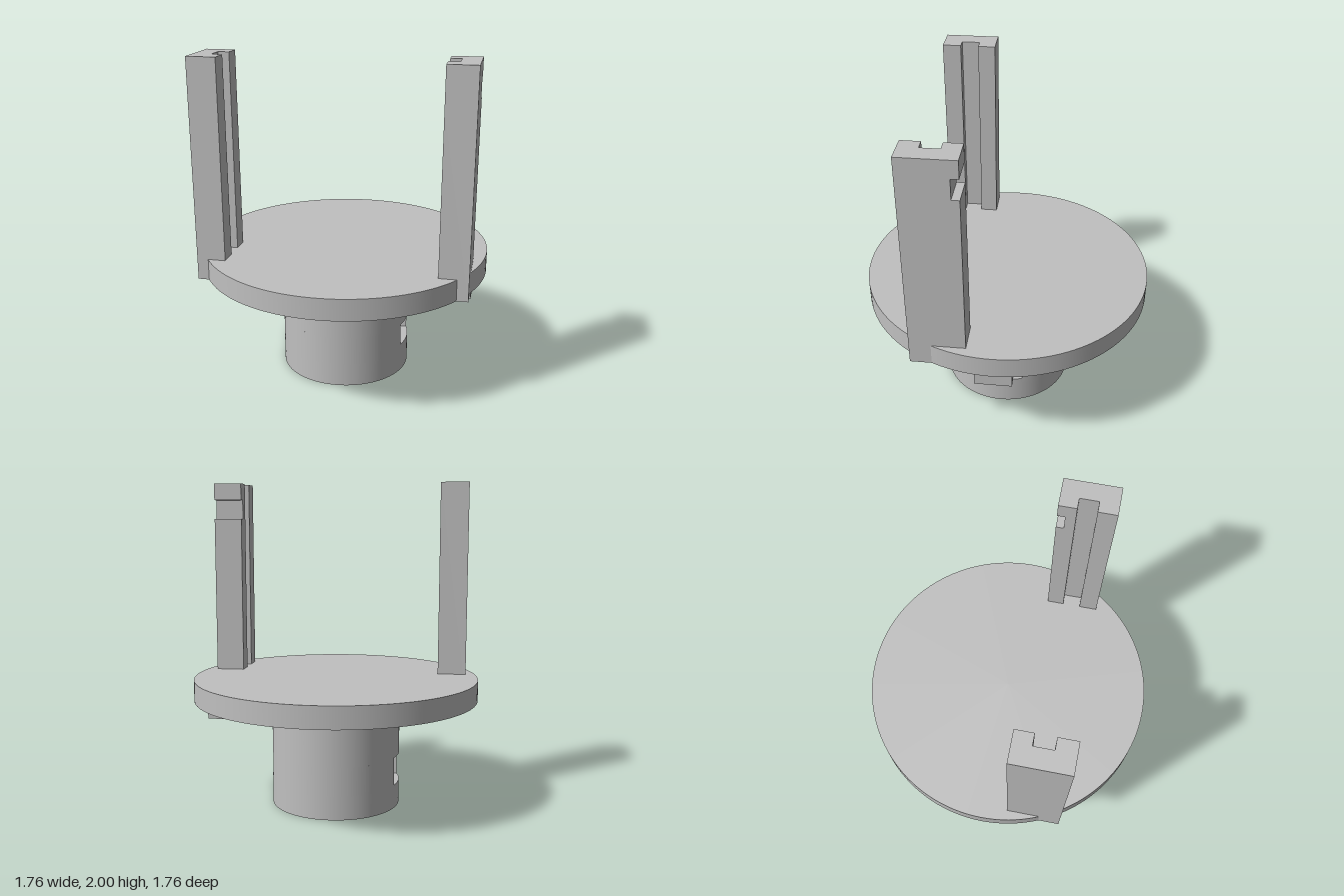
import * as THREE from 'three';

const STEM_R = 0.4, DISC_R = 0.88, SLOT_A = Math.asin(0.13 / STEM_R);

export function createModel() {
  const model = new THREE.Group();
  const grey = new THREE.MeshStandardMaterial({ color: 0xc0c0c0 });
  grey.name = 'plain grey';

  const add = (name, geometry, parent = model) => {
    const mesh = new THREE.Mesh(geometry, grey);
    mesh.name = name;
    parent.add(mesh);
    return mesh;
  };

  // Round solid between two heights
  const drum = (name, r, y0, y1, parent) => {
    add(name, new THREE.CylinderGeometry(r, r, y1 - y0, 128), parent).position.y = (y0 + y1) / 2;
  };

  // Plan outline (x, -z) raised between two heights
  const raise = (name, shape, y0, y1, parent) => {
    const g = new THREE.ExtrudeGeometry(shape, { depth: y1 - y0, bevelEnabled: false, curveSegments: 48 });
    g.rotateX(-Math.PI / 2);
    add(name, g, parent).position.y = y0;
  };

  // Stem with a slot running through it along x, deeper on the -x side
  const stem = new THREE.Group();
  stem.name = 'stem';
  model.add(stem);
  drum('stemBase', STEM_R, 0, 0.145, stem);
  drum('stemTop', STEM_R, 0.32, 0.67, stem);
  for (const turn of [0, Math.PI]) {
    const side = new THREE.Shape();
    side.absarc(0, 0, STEM_R, turn + SLOT_A, turn + Math.PI - SLOT_A, false);
    raise('slotSide', side, 0.145, 0.32, stem);
  }
  const step = new THREE.Shape();
  step.moveTo(0, -0.13);
  step.absarc(0, 0, STEM_R, -SLOT_A, SLOT_A, false);
  step.lineTo(0, 0.13);
  raise('slotStep', step, 0.145, 0.18, stem);

  // Round platform
  drum('platform', DISC_R, 0.67, 0.8);

  // Upright posts with a groove on the inner face
  const postShape = (s, zBack) => new THREE.Shape([
    [0.632, zBack], [0.807, zBack], [0.807, 0.477], [0.632, 0.477],
    [0.632, 0.365], [0.698, 0.365], [0.698, 0.255], [0.632, 0.255],
  ].map(([x, z]) => new THREE.Vector2(s * x, -z)));

  raise('rightPost', postShape(-1, 0.15), 0.67, 2);

  // Left post carries a notch across its back face near the top
  const leftPost = new THREE.Group();
  leftPost.name = 'leftPost';
  model.add(leftPost);
  raise('postShaft', postShape(1, 0.15), 0.67, 1.775, leftPost);
  raise('postNotch', postShape(1, 0.195), 1.775, 1.895, leftPost);
  raise('postHead', postShape(1, 0.15), 1.895, 2, leftPost);

  // Small block under the platform
  add('underBlock', new THREE.BoxGeometry(0.155, 0.145, 0.22)).position.set(0.723, 0.5975, 0);

  return model;
}
